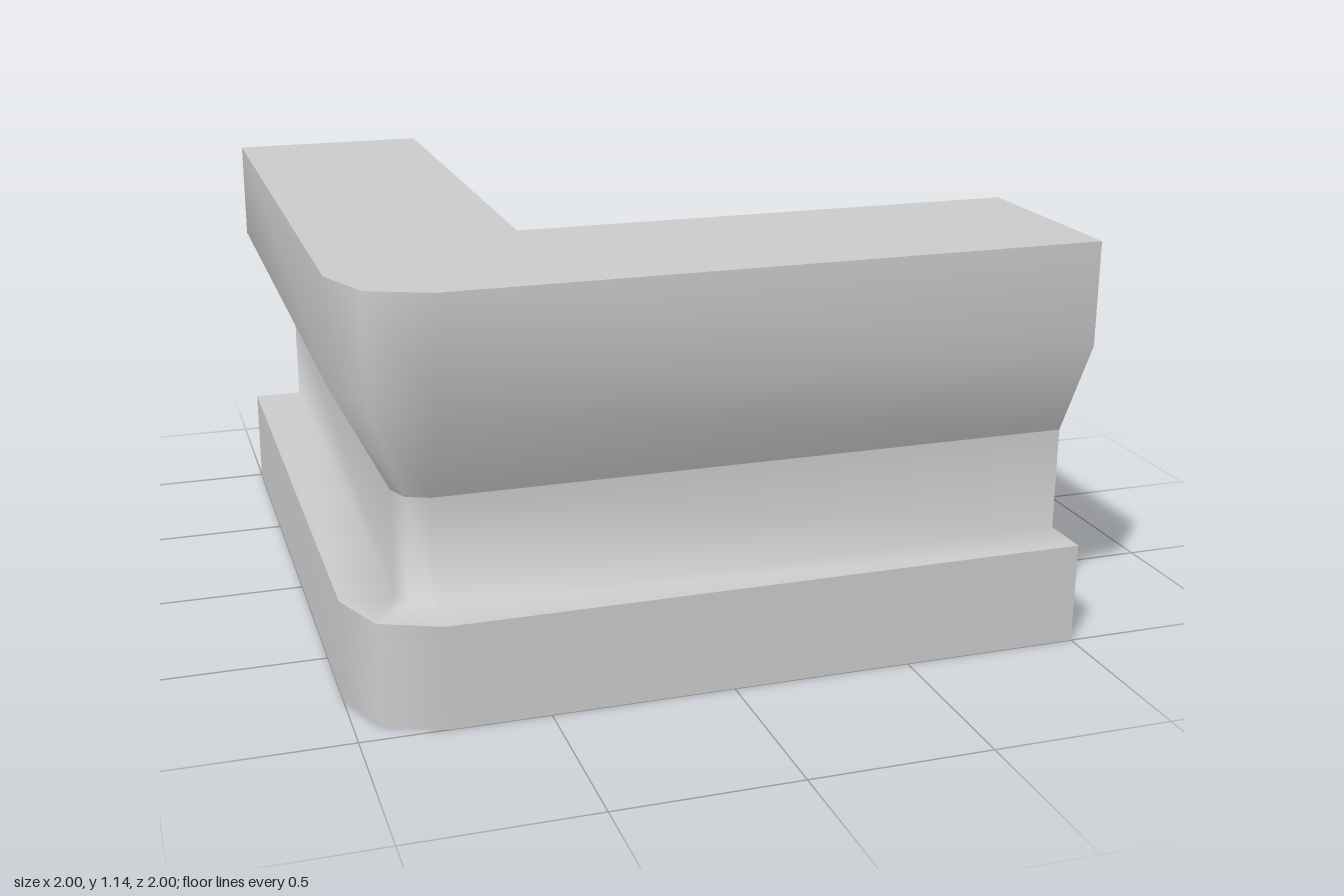
import * as THREE from 'three';

const INSET = 0.143, WIDTH = 0.57, RADIUS = 0.23;
const TOP = 1.143, END_Z = 1 - WIDTH / 2;
const material = new THREE.MeshStandardMaterial({ color: 0xcccccc, side: THREE.DoubleSide });

// Bands of the side profile as [inset, height]; each is smooth within itself
const bands = {
  BaseWall: [[0, 0], [0, 0.285]],
  LedgeAndNeck: [[0, 0.285], [INSET, 0.285], [INSET, 0.575]],
  FlaredTop: [[INSET, 0.575], [0, 0.857], [0, TOP]],
};

// Outer plan line [x, z], rounded at the corner, moved inwards by d
function outerPath(d) {
  const c = 1 - RADIUS, r = RADIUS - d, m = c + r * Math.SQRT1_2;
  return [[-1 + d, -1], [-1 + d, c], [-m, m], [-c, 1 - d], [1, 1 - d]];
}

// Inner plan line, from the right end to the sharp corner to the back end
function innerPath(d) {
  const e = 1 - WIDTH + d;
  return [[1, e], [-e, e], [-e, -1]];
}

// Sweep one profile band along a plan line
function ribbon(band, path) {
  const positions = [], index = [];
  const n = path(0).length;
  band.forEach(([d, y], j) => {
    path(d).forEach(([x, z], i) => {
      positions.push(x, y, z);
      if (j < band.length - 1 && i < n - 1) {
        const a = j * n + i;
        index.push(a, a + 1, a + n, a + 1, a + n + 1, a + n);
      }
    });
  });
  const geometry = new THREE.BufferGeometry();
  geometry.setAttribute('position', new THREE.Float32BufferAttribute(positions, 3));
  geometry.setIndex(index);
  geometry.computeVertexNormals();
  return geometry;
}

function flatFace(points) {
  return new THREE.ShapeGeometry(new THREE.Shape(points.map(([x, y]) => new THREE.Vector2(x, y))));
}

export function createModel() {
  const group = new THREE.Group();
  group.name = 'cornerWall';
  const add = (name, geometry) => {
    const mesh = new THREE.Mesh(geometry, material);
    mesh.name = name;
    group.add(mesh);
  };

  // Long sides
  for (const [name, band] of Object.entries(bands)) {
    add('outer' + name, ribbon(band, outerPath));
    add('innerRight' + name, ribbon(band, (d) => innerPath(d).slice(0, 2)));
    add('innerBack' + name, ribbon(band, (d) => innerPath(d).slice(1)));
  }

  // Top and underside
  const plan = [...outerPath(0), ...innerPath(0)];
  add('topFace', flatFace(plan.map(([x, z]) => [x, -z])).rotateX(-Math.PI / 2).translate(0, TOP, 0));
  add('underside', flatFace(plan).rotateX(Math.PI / 2));

  // Cut ends, showing the whole profile
  const half = [[0, 0], [0, 0.285], [INSET, 0.285], [INSET, 0.575], [0, 0.857], [0, TOP]];
  const section = [
    ...half.map(([d, y]) => [WIDTH / 2 - d, y]),
    ...half.map(([d, y]) => [d - WIDTH / 2, y]).reverse(),
  ];
  add('backEnd', flatFace(section).rotateY(Math.PI).translate(-END_Z, 0, -1));
  add('rightEnd', flatFace(section).rotateY(Math.PI / 2).translate(1, 0, END_Z));
  return group;
}
